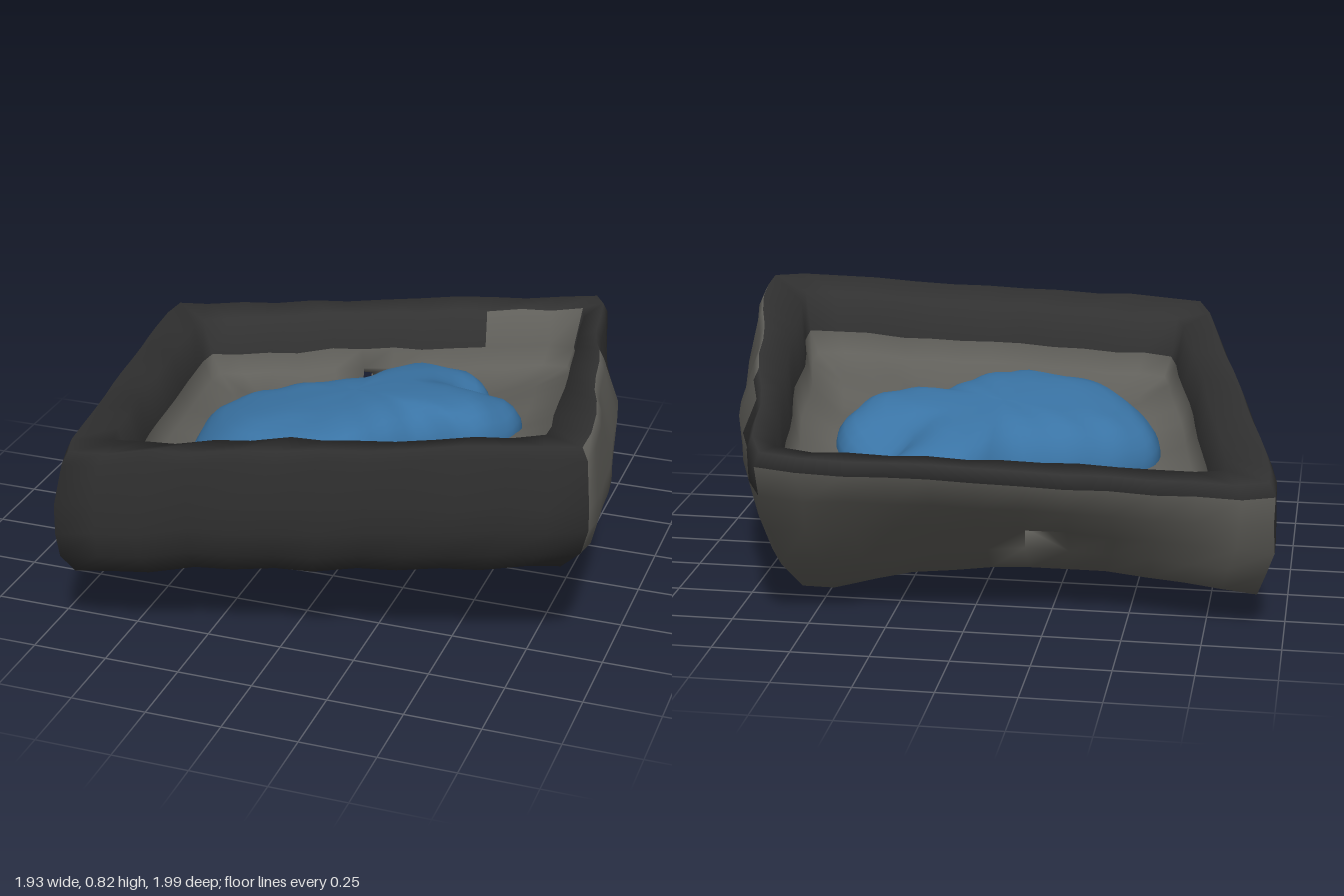
import * as THREE from 'three';

const N = 12; // segments along each side of the tray
const V = (x, y, z) => new THREE.Vector3(x, y, z);

// Height of the tilted rim plane
const rimY = (x, z) => 0.655 + 0.1 * x + 0.097 * z;

// Soft hand-made unevenness
const wobble = (x, y, z) =>
  0.006 * Math.sin(9 * x + 4 * y + 2) * Math.cos(8 * z - 3 * y) + 0.004 * Math.sin(21 * x - 17 * z + 9 * y);

// Rounded four-cornered ring; corners run back right side, back left, front left, front right.
// bow = [back lift, back inset, left bulge]
function ring(corners, bow = [0, 0, 0]) {
  const raw = [];
  for (let k = 0; k < 4; k++) {
    for (let i = 0; i < N; i++) {
      const t = i / N, s = Math.sin(Math.PI * t);
      const p = V(...corners[k]).lerp(V(...corners[(k + 1) % 4]), t);
      if (k === 0) { p.y += bow[0] * s; p.z += bow[1] * s; }
      if (k === 1) p.x += bow[2] * s;
      raw.push(p);
    }
  }
  return raw.map((p, i) => {
    const q = p.clone();
    if (i % N === 0) {
      const mid = raw[(i + 1) % raw.length].clone().add(raw[(i + raw.length - 1) % raw.length]).multiplyScalar(0.5);
      q.lerp(mid, 0.28);
    }
    const w = wobble(q.x, q.y, q.z);
    return q.add(V(w, w, -w));
  });
}

// Flat corner list placed at a depth under the rim plane
const under = (list, depth) => list.map(([x, z]) => [x, rimY(x, z) - depth, z]);

// Pull a ring towards a centre point
const shrink = (pts, c, s, dy = 0) => pts.map((p) => {
  const q = c.clone().lerp(p, s);
  q.y += dy + (s > 0 ? wobble(q.x * 1.3, q.y, q.z * 1.3) : 0);
  return q;
});

// Skin consecutive rings; pick(row, column) gives a material index, or -1 for an opening
function loft(rings, pick, count, extra = []) {
  const n = rings[0].length, lists = Array.from({ length: count }, () => []);
  const id = (r, u) => r * n + (u % n);
  const quad = (m, a, b, c, d) => lists[m].push(a, b, c, a, c, d);
  for (let r = 0; r < rings.length - 1; r++) {
    for (let u = 0; u < n; u++) {
      const m = pick(r, u);
      if (m >= 0) quad(m, id(r, u), id(r, u + 1), id(r + 1, u + 1), id(r + 1, u));
    }
  }
  for (const [m, ...q] of extra) quad(m, ...q.map(([r, u]) => id(r, u)));
  const g = new THREE.BufferGeometry().setFromPoints(rings.flat());
  g.setIndex(lists.flat());
  let start = 0;
  lists.forEach((l, m) => { g.addGroup(start, l.length, m); start += l.length; });
  g.computeVertexNormals();
  return g;
}

export function createModel() {
  const dark = new THREE.MeshStandardMaterial({ color: 0x313131 });
  dark.name = 'charcoal frame';
  const gray = new THREE.MeshStandardMaterial({ color: 0x605f5a });
  gray.name = 'warm gray body';
  const blue = new THREE.MeshStandardMaterial({ color: 0x3a74a5 });
  blue.name = 'blue mound';
  const group = new THREE.Group();

  // Tray: floor, inner wall, rim, outer wall and underside
  const outer = [[-0.995, -0.695], [0.61, -1.02], [0.99, 0.67], [-0.635, 1.01]];
  const lip = outer.map(([x, z]) => [x * 0.978, z * 0.978]);
  const inner = [[-0.82, -0.57], [0.57, -0.89], [0.81, 0.55], [-0.55, 0.81]];
  const paintEdge = [[-0.78, -0.55], [0.56, -0.85], [0.79, 0.53], [-0.53, 0.78]];
  const floorEdge = ring(under([[-0.74, -0.53], [0.54, -0.8], [0.76, 0.51], [-0.51, 0.75]], 0.22));
  const floorMid = V(0, 0.38, 0), baseMid = V(0, 0.2, 0);
  // The floor sinks towards the opening in the back wall
  const floorRing = shrink(floorEdge, floorMid, 0.83, -0.03);
  for (let i = 1; i < N; i++) floorRing[i].y -= 0.06 * Math.sin(Math.PI * i / N);
  const base = ring([[-0.93, 0.11, -0.61], [0.57, 0.05, -0.6], [0.89, 0.36, 0.59], [-0.64, 0.25, 0.93]], [0.06, 0.08, 0]);
  const belly = ring([[-0.78, 0.09, -0.5], [0.51, -0.01, -0.43], [0.74, 0.27, 0.44], [-0.5, 0.21, 0.75]], [0.08, 0.03, 0]);
  const rings = [
    shrink(floorEdge, floorMid, 0),
    shrink(floorEdge, floorMid, 0.45, -0.01),
    floorRing,
    floorEdge,
    ring(under(paintEdge, 0.15)),
    ring(under(inner, 0.015)),
    ring(under(lip, -0.004)),
    ring(under(outer, 0.035)),
    ring([[-0.99, 0.36, -0.69], [0.61, 0.47, -0.96], [0.99, 0.61, 0.67], [-0.66, 0.52, 1.01]], [0, 0.04, 0.06]),
    ring([[-0.99, 0.27, -0.68], [0.61, 0.33, -0.87], [0.985, 0.53, 0.66], [-0.66, 0.42, 1.01]], [0.02, 0.08, 0.07]),
    ring([[-0.96, 0.19, -0.65], [0.59, 0.17, -0.75], [0.96, 0.44, 0.64], [-0.66, 0.33, 0.99]], [0.05, 0.09, 0.05]),
    base,
    belly,
    shrink(belly, baseMid, 0.5),
    shrink(belly, baseMid, 0),
  ];
  const hole = 5; // column of the opening in the back wall
  const colour = (r, u) => {
    const side = Math.floor(u / N), i = u % N;
    if (u === hole && (r === 2 || r === 9)) return -1;
    if (r === 4) return side === 0 && i >= 9 ? 1 : 0;
    if (r === 5) return 0;
    if (r === 6) return side === 1 && i >= 5 ? 1 : 0;
    if (r >= 7 && r <= 10) return side >= 2 || (r === 7 && side === 1 && i < 4) ? 0 : 1;
    return 1;
  };
  // Passage through the back wall
  const out = [[9, hole], [9, hole + 1], [10, hole + 1], [10, hole]];
  const ins = [[3, hole], [3, hole + 1], [2, hole + 1], [2, hole]];
  const passage = out.map((a, i) => [1, a, out[(i + 1) % 4], ins[(i + 1) % 4], ins[i]]);
  const tray = new THREE.Mesh(loft(rings, colour, 2, passage), [dark, gray]);
  tray.name = 'tray';
  group.add(tray);

  // Lobed mound resting on the floor
  const outline = [
    [0.1, -0.6], [0.25, -0.59], [0.33, -0.5], [0.36, -0.39], [0.48, -0.31], [0.53, -0.2], [0.52, -0.07],
    [0.44, 0.05], [0.29, 0.1], [0.2, 0.22], [0.13, 0.35], [0, 0.47], [-0.15, 0.49], [-0.35, 0.44],
    [-0.46, 0.34], [-0.53, 0.2], [-0.54, 0], [-0.45, -0.12], [-0.3, -0.22], [-0.15, -0.3], [-0.05, -0.4], [0.01, -0.51],
  ];
  const curve = new THREE.CatmullRomCurve3(outline.map(([x, z]) => V(x, 0, z)), true);
  const edge = curve.getSpacedPoints(80).slice(0, 80);
  const mid = V(-0.02, 0, -0.04);
  const domes = [0, 0.2, 0.4, 0.55, 0.7, 0.8, 0.88, 0.94, 0.98, 1].map((s) => edge.map((p) => {
    const q = mid.clone().lerp(p, s);
    const crease = 0.07 * Math.exp(-((q.x - 0.31) ** 2 + (q.z + 0.34) ** 2) / 0.012);
    q.y = rimY(q.x, q.z) - 0.28 + 0.19 * Math.sqrt(1 - s ** 4) - crease * (s < 1 ? 1 : 0);
    q.y += s * 1.3 * wobble(q.x * 1.5, 0, q.z * 1.5);
    return q;
  }));
  domes.push(edge.map((p) => V(p.x * 0.96, rimY(p.x, p.z) - 0.33, p.z * 0.96)));
  const mound = new THREE.Mesh(loft(domes, () => 0, 1), blue);
  mound.name = 'mound';
  group.add(mound);

  return group;
}
